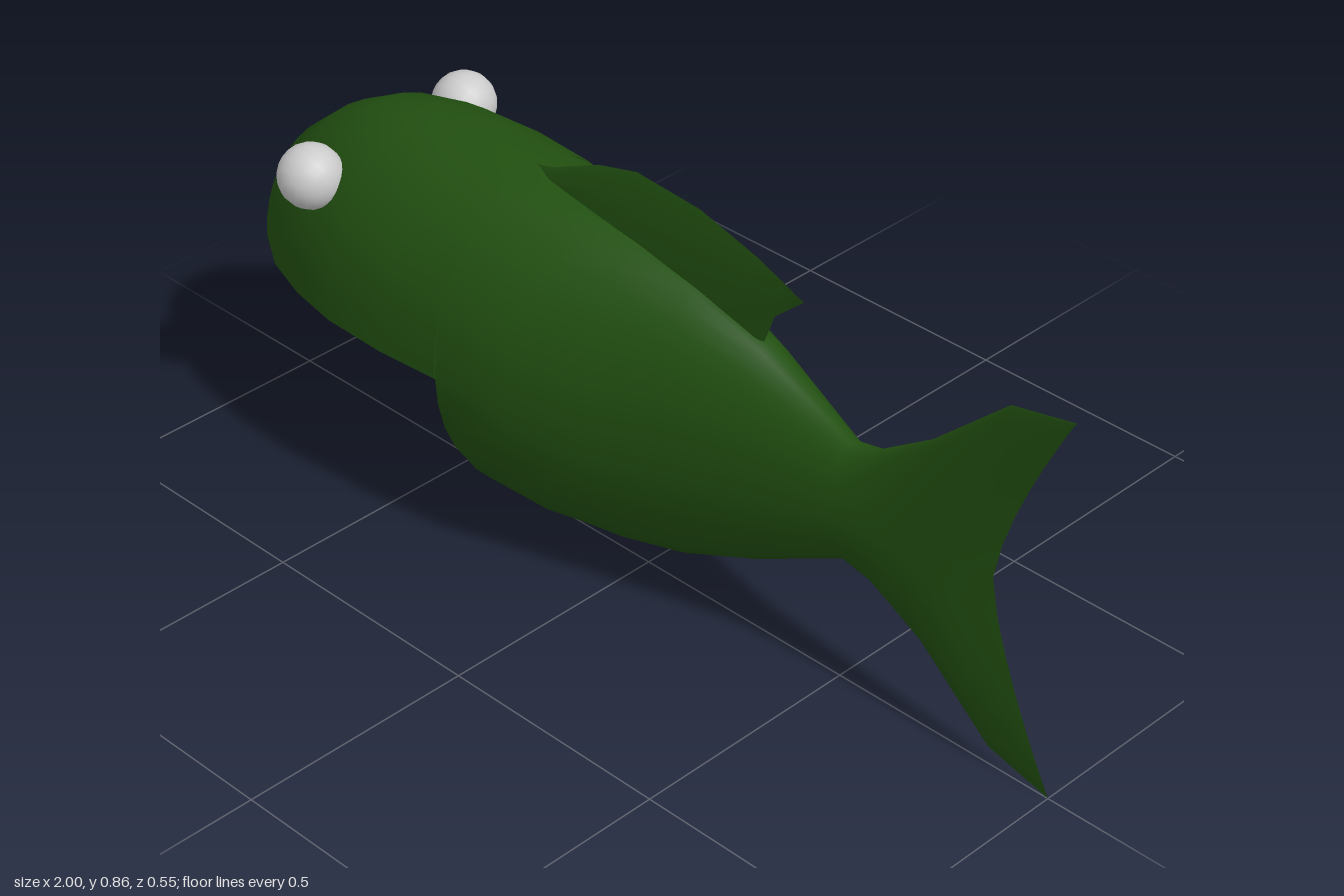
import * as THREE from 'three';
import { toCreasedNormals } from 'three/addons/utils/BufferGeometryUtils.js';

// Skins a list of closed rings that follow each other along +x
function loft(rings) {
  const n = rings[0].length;
  const index = [];
  for (let i = 0; i < rings.length - 1; i++) {
    for (let j = 0; j < n; j++) {
      const a = i * n + j, b = i * n + (j + 1) % n;
      index.push(a, b, a + n, b, b + n, a + n);
    }
  }
  const geo = new THREE.BufferGeometry();
  geo.setAttribute('position', new THREE.Float32BufferAttribute(rings.flat(2), 3));
  geo.setIndex(index);
  return toCreasedNormals(geo, 0.9);
}

const MID = 0.41; // height of the jaw line
const SEG = 32;

// Two half ellipses meeting at the jaw line; the outer x may sweep back from the middle x
function section([x, top, bottom, w, outerX = x]) {
  return Array.from({ length: SEG }, (_, j) => {
    const a = (j / SEG) * Math.PI * 2, c = Math.cos(a);
    return [
      x + (outerX - x) * Math.pow(Math.abs(c), 1.4),
      MID + c * (c > 0 ? top - MID : MID - bottom),
      w * Math.sin(a),
    ];
  });
}

export function createModel() {
  const fish = new THREE.Group();
  fish.name = 'fish';
  const green = new THREE.MeshStandardMaterial({ color: 0x225011, side: THREE.DoubleSide });
  const grey = new THREE.MeshStandardMaterial({ color: 0xcccccc });
  const black = new THREE.MeshStandardMaterial({ color: 0x050505 });

  const add = (name, geo, mat, parent = fish) => {
    const mesh = new THREE.Mesh(geo, mat);
    mesh.name = name;
    parent.add(mesh);
    return mesh;
  };

  // Body: x, top, bottom, half width, outer x
  const stations = [
    // head, flat underneath
    [-1, MID, MID, 0], [-0.98, 0.51, MID, 0.08], [-0.925, 0.61, MID, 0.15],
    [-0.83, 0.687, MID, 0.21], [-0.72, 0.743, MID, 0.248], [-0.6, 0.768, MID, 0.271],
    [-0.45, 0.777, MID, 0.275], [-0.305, 0.772, MID, 0.265],
    // belly, starting with the upright mouth wall
    [-0.306, 0.772, 0.09, 0.262], [-0.285, 0.771, 0.074, 0.26], [-0.14, 0.757, 0.067, 0.24],
    [0, 0.735, 0.075, 0.187], [0.14, 0.7, 0.105, 0.143], [0.3, 0.643, 0.172, 0.1],
    [0.51, 0.535, 0.28, 0.052],
    // tail fin, swept back into two lobes
    [0.57, 0.55, 0.26, 0.04, 0.575], [0.65, 0.63, 0.188, 0.027, 0.695],
    [0.755, 0.78, 0.04, 0.018, 0.86], [0.845, 0.81, 0.003, 0, 1],
  ];
  add('body', loft(stations.map(section)), green);

  // Dorsal fin: base x, base y, edge x, edge y, half thickness, hollow of the rear edge
  const fin = [
    [-0.33, 0.74, -0.32, 0.765, 0.004, 0], [-0.25, 0.73, -0.25, 0.783, 0.018, 0],
    [-0.14, 0.71, -0.13, 0.838, 0.025, 0], [-0.06, 0.69, -0.03, 0.864, 0.025, 0],
    [0.06, 0.66, 0.13, 0.853, 0.021, 0], [0.17, 0.63, 0.27, 0.815, 0.014, 0],
    [0.26, 0.6, 0.335, 0.79, 0.008, 0.015], [0.275, 0.6, 0.385, 0.77, 0, 0.03],
  ];
  const finSection = ([bx, by, ex, ey, w, hollow]) => {
    const mx = bx + (ex - bx) * 0.65 - hollow, my = by + (ey - by) * 0.65;
    return [[ex, ey, 0], [mx, my, w * 0.85], [bx, by, w], [bx, by, -w], [mx, my, -w * 0.85]];
  };
  add('dorsalFin', loft(fin.map(finSection)), green);

  // Eyes with pupils looking forward along the head
  for (const side of [1, -1]) {
    const eye = new THREE.Group();
    eye.name = side > 0 ? 'eyeNear' : 'eyeFar';
    eye.position.set(-0.715, 0.655, side * 0.2);
    eye.rotation.z = Math.PI / 2;
    fish.add(eye);
    add('eyeball', new THREE.SphereGeometry(0.066, 18, 14), grey, eye);
    add('pupil', new THREE.SphereGeometry(0.067, 18, 4, 0, Math.PI * 2, 0, 0.4), black, eye);
  }
  return fish;
}
